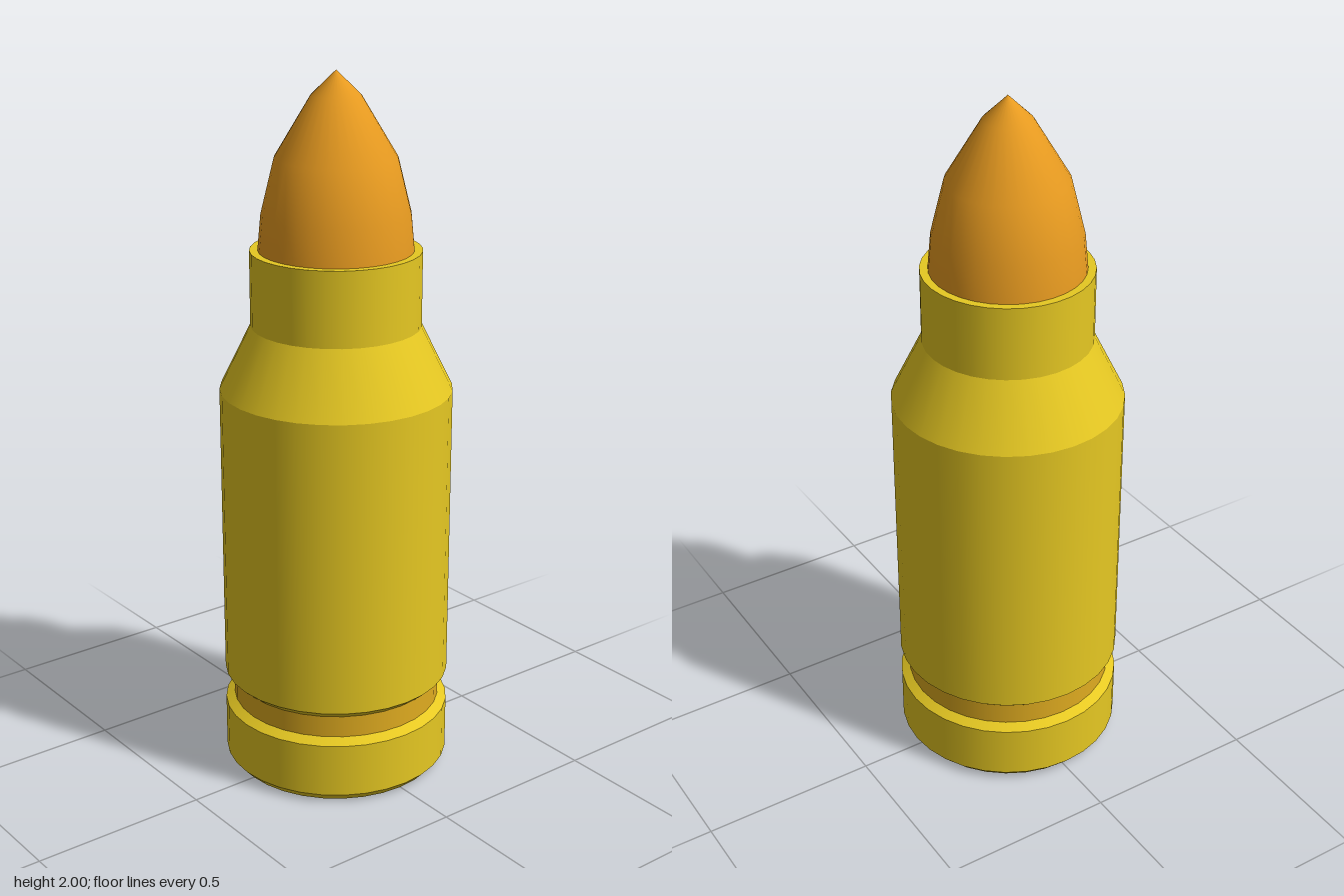
import * as THREE from 'three';

const SIDES = 32;
const brass = new THREE.MeshStandardMaterial({ color: 0xe6c822 });
const darkBrass = new THREE.MeshStandardMaterial({ color: 0xe0ac20 });
const copper = new THREE.MeshStandardMaterial({ color: 0xe89b20 });

// Turned surface; the profile runs upwards (or outwards on the underside)
function turned(profile, material) {
  const points = profile.map(([r, y]) => new THREE.Vector2(r, y));
  return new THREE.Mesh(new THREE.LatheGeometry(points, SIDES), material);
}

// One band per profile step, so that every edge stays sharp
function bands(name, profile, material) {
  const group = new THREE.Group();
  group.name = name;
  for (let i = 0; i + 1 < profile.length; i++) {
    const band = turned([profile[i], profile[i + 1]], material);
    band.name = `${name}Band${i + 1}`;
    group.add(band);
  }
  return group;
}

export function createModel() {
  const model = new THREE.Group();
  model.name = 'cartridge';

  // Base rim with a bevelled foot
  model.add(bands('rim', [[0.212, 0], [0.3, 0], [0.323, 0.025], [0.323, 0.18], [0.298, 0.197]], brass));

  // Primer disc, flush with the underside
  const primer = turned([[0, 0], [0.212, 0]], copper);
  primer.name = 'primer';
  model.add(primer);

  // Extractor groove
  const groove = turned([[0.298, 0.197], [0.298, 0.26]], darkBrass);
  groove.name = 'extractorGroove';
  model.add(groove);

  // Case body, shoulder, neck and mouth
  model.add(bands('case', [
    [0.298, 0.26], [0.323, 0.282], [0.323, 1.13], [0.235, 1.31], [0.235, 1.52], [0.212, 1.52],
  ], brass));

  // Pointed bullet seated in the mouth
  const bullet = turned([[0.213, 1.515], [0.203, 1.62], [0.166, 1.77], [0.067, 1.935], [0, 2]], copper);
  bullet.name = 'bullet';
  model.add(bullet);

  return model;
}
